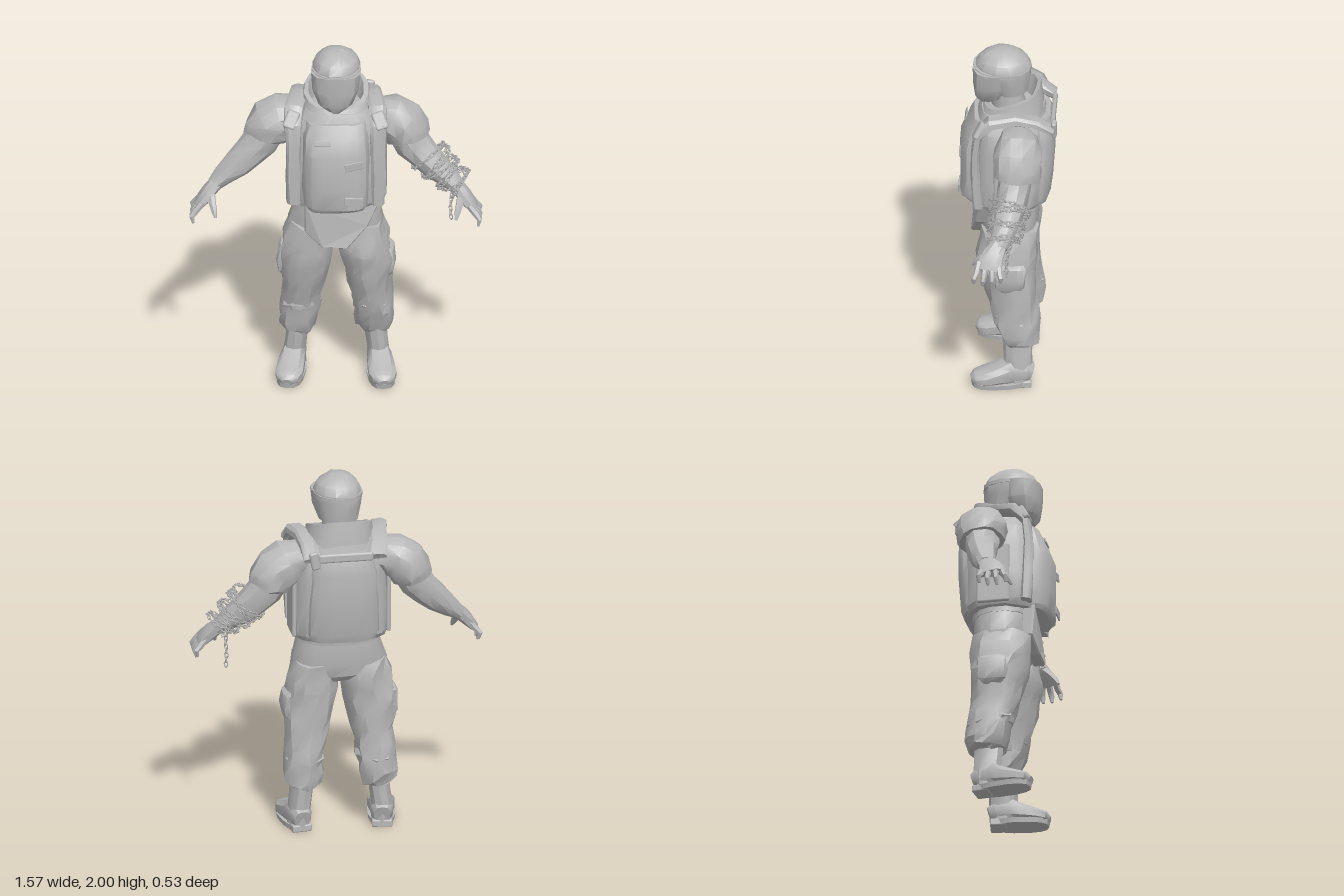
import * as THREE from 'three';
import { mergeGeometries, toCreasedNormals } from 'three/addons/utils/BufferGeometryUtils.js';
import { RoundedBoxGeometry } from 'three/addons/geometries/RoundedBoxGeometry.js';

const grey = new THREE.MeshStandardMaterial({ color: 0xb8b8b8 });
grey.name = 'plain grey';

let seed = 7;
const rand = () => (seed = (seed * 16807) % 2147483647) / 2147483647 - 0.5;
const V = (x, y, z) => new THREE.Vector3(x, y, z);

// Skin rings [x, y, z, radiusU, radiusV, tilt]. flat: level rings; across: rings kept square to x;
// path: rings follow the path. pow > 2 makes the section boxier, jitter gives cloth folds.
function loft(rings, { n = 12, pow = 2, jitter = 0, mode = 'flat', caps = true, s = 1, crease = 0.6 } = {}) {
  const pts = rings.map(r => V(r[0] * s, r[1], r[2]));
  const pos = [], idx = [];
  rings.forEach((r, i) => {
    const t = mode === 'flat' ? V(0, 1, 0)
      : pts[Math.min(i + 1, pts.length - 1)].clone().sub(pts[Math.max(i - 1, 0)]).normalize();
    const u = mode === 'path' ? t.clone().cross(V(0, 0, 1)) : V(1, 0, 0).addScaledVector(t, -t.x);
    u.normalize();
    const v = t.clone().cross(u);
    for (let j = 0; j < n; j++) {
      const a = (j + 0.5) / n * Math.PI * 2, c = Math.cos(a), d = Math.sin(a);
      const p = pts[i].clone()
        .addScaledVector(u, r[3] * Math.sign(c) * Math.abs(c) ** (2 / pow))
        .addScaledVector(v, r[4] * Math.sign(d) * Math.abs(d) ** (2 / pow));
      p.y += (r[5] || 0) * (p.z - r[2]);
      pos.push(p.x + rand() * jitter, p.y + rand() * jitter, p.z + rand() * jitter);
    }
  });
  const m = rings.length;
  for (let i = 0; i < m - 1; i++) for (let j = 0; j < n; j++) {
    const a = i * n + j, b = i * n + (j + 1) % n;
    idx.push(a, b, b + n, a, b + n, a + n);
  }
  if (caps) {
    pos.push(...pts[0].toArray(), ...pts[m - 1].toArray());
    for (let j = 0; j < n; j++) {
      const k = (j + 1) % n, top = (m - 1) * n;
      idx.push(m * n, k, j, m * n + 1, top + j, top + k);
    }
  }
  const g = new THREE.BufferGeometry();
  g.setAttribute('position', new THREE.Float32BufferAttribute(pos, 3));
  g.setIndex(idx);
  return toCreasedNormals(g, crease);
}

export function createModel() {
  const model = new THREE.Group();
  const add = (name, geo, parent = model) => {
    const mesh = new THREE.Mesh(geo, grey);
    mesh.name = name;
    parent.add(mesh);
    return mesh;
  };
  const box = (name, w, h, d, x, y, z, r = 0.012) => {
    const mesh = add(name, new RoundedBoxGeometry(w, h, d, 1, r));
    mesh.position.set(x, y, z);
    return mesh;
  };

  // Helmet, neck and visor
  add('helmet', loft([[0, 1.755, -.01, .105, .095], [0, 1.83, .012, .122, .128], [0, 1.88, .03, .13, .15], [0, 1.91, .032, .13, .152],
    [0, 1.95, .03, .112, .13], [0, 1.985, .035, .07, .085], [0, 2, .04, .03, .035]], { n: 12, jitter: .006 }));
  add('neck', loft([[0, 1.58, -.01, .1, .1], [0, 1.7, .01, .085, .09], [0, 1.8, .03, .09, .1]]));
  add('visor', loft([[0, 1.675, .125, .03, .035], [0, 1.72, .105, .095, .082], [0, 1.8, .09, .128, .106], [0, 1.9, .085, .137, .113]],
    { n: 12, pow: 2.4, jitter: .006 }));
  add('visorRim', loft([[0, 1.885, .036, .134, .158], [0, 1.905, .036, .134, .158]], { n: 14, pow: 2.2 }));

  // Standing collar, higher at the back
  add('collar', loft([[0, 1.6, 0, .21, .19, -.1], [0, 1.66, -.01, .185, .175, -.2], [0, 1.735, -.02, .172, .152, -.37],
    [0, 1.735, -.02, .15, .13, -.37], [0, 1.6, 0, .12, .12, -.2]], { n: 16, pow: 2.4, caps: false, jitter: .008 }));

  // Vest body with thick front and back plates
  add('vest', loft([[0, 1.11, 0, .25, .2], [0, 1.14, 0, .268, .212], [0, 1.3, 0, .268, .212], [0, 1.48, -.01, .252, .21],
    [0, 1.58, -.01, .238, .195], [0, 1.66, -.02, .18, .17]], { n: 20, pow: 2.6, jitter: .01 }));
  add('frontPlate', loft([[0, 1.11, .12, .165, .122], [0, 1.135, .12, .178, .138], [0, 1.25, .12, .18, .144], [0, 1.45, .12, .18, .14],
    [0, 1.55, .11, .175, .118], [0, 1.615, .1, .155, .09]], { n: 16, pow: 3.2, jitter: .009 }));
  add('backPlate', loft([[0, 1.115, -.1, .19, .112], [0, 1.16, -.1, .205, .13], [0, 1.35, -.1, .2, .145], [0, 1.5, -.1, .19, .149],
    [0, 1.58, -.1, .17, .143], [0, 1.63, -.1, .15, .125]], { n: 16, pow: 3.2, jitter: .009 }));
  box('backYoke', .3, .05, .025, 0, 1.615, -.24);
  box('dragHandle', .05, .1, .03, .17, 1.61, -.25).rotation.z = -.2;
  box('chestTab', .1, .045, .009, .1, 1.405, .258, .004).rotation.z = .25;
  box('bellyTab', .1, .05, .009, .1, 1.19, .262, .004);
  box('sideTab', .09, .03, .009, -.07, 1.53, .235, .004).rotation.x = -.3;

  // Hips, belt and hanging groin guard
  add('hips', loft([[0, .85, 0, .16, .11], [0, .89, 0, .25, .15], [0, .96, 0, .258, .165], [0, 1.06, 0, .23, .166], [0, 1.15, 0, .21, .165]],
    { n: 16, pow: 2.3, jitter: .012 }));
  add('belt', loft([[0, 1.08, 0, .225, .172], [0, 1.115, 0, .222, .176]], { n: 16, pow: 2.4 }));
  const flap = new THREE.Shape([[-.16, 1.13], [-.16, .96], [-.07, .88], [.06, .875], [.17, 1], [.23, 1.13]]
    .map(p => new THREE.Vector2(...p)));
  const flapGeo = new THREE.ExtrudeGeometry(flap, { depth: .05, bevelSize: .006, bevelThickness: .008, bevelSegments: 1 });
  const fp = flapGeo.attributes.position;
  for (let i = 0; i < fp.count; i++) fp.setZ(i, fp.getZ(i) + .16 - fp.getX(i) ** 2 * 1.5 + (fp.getY(i) - 1) * .08);
  flapGeo.computeVertexNormals();
  add('groinGuard', flapGeo);

  for (const s of [-1, 1]) {
    const side = s > 0 ? 'left' : 'right';

    // Strap over the shoulder, buckle pad and side panel
    add(side + 'ShoulderStrap', loft([[.228, 1.13, .155, .036, .026], [.23, 1.3, .168, .038, .028], [.226, 1.47, .17, .04, .026],
      [.23, 1.6, .155, .048, .026], [.225, 1.67, .09, .052, .028], [.2, 1.685, -.04, .052, .028], [.19, 1.66, -.15, .05, .025],
      [.18, 1.61, -.235, .048, .022]], { n: 8, pow: 3, mode: 'across', s, jitter: .01 }));
    box(side + 'BucklePad', .07, .1, .035, s * .238, 1.63, .15).rotation.set(-.5, 0, s * .35);
    box(side + 'SidePanel', .026, .34, .18, s * .257, 1.29, -.02);

    // Short sleeve and bare arm
    add(side + 'Sleeve', loft([[.17, 1.55, -.06, .085, .09], [.23, 1.555, -.06, .104, .105], [.29, 1.545, -.063, .122, .128], [.345, 1.505, -.065, .13, .136],
      [.383, 1.45, -.063, .122, .13], [.39, 1.425, -.06, .112, .118]], { n: 12, mode: 'path', s, jitter: .016 }));
    add(side + 'Arm', loft([[.35, 1.49, -.06, .095, .095], [.41, 1.385, -.05, .096, .092], [.465, 1.325, -.04, .086, .085],
      [.53, 1.265, -.025, .076, .076], [.61, 1.2, .002, .054, .062], [.66, 1.155, .02, .038, .05]], { n: 10, mode: 'path', s, jitter: .008 }));

    // Hand with four fingers and a thumb
    add(side + 'Palm', loft([[.64, 1.175, .014, .036, .045], [.685, 1.13, .045, .036, .058], [.72, 1.09, .064, .032, .066], [.742, 1.06, .072, .022, .06]],
      { n: 8, mode: 'path', pow: 2.5, s, jitter: .004 }));
    for (let i = 0; i < 4; i++) {
      const z = .016 + i * .035, tip = i * .048 + .002, drop = [.02, 0, 0, .012][i];
      add(side + 'Finger', loft([[.715, 1.1, z, .019, .018], [.756, 1.05, (z + tip) / 2, .018, .017], [.772, 1.015 + drop, tip, .015, .015],
        [.765, .98 + drop, tip + .004, .007, .008]], { n: 6, mode: 'path', s }));
    }
    add(side + 'Thumb', loft([[.675, 1.15, .055, .024, .024], [.665, 1.1, .108, .022, .02], [.652, 1.06, .142, .017, .016], [.645, 1.03, .16, .008, .008]],
      { n: 6, mode: 'path', s }));

    // Baggy trouser leg gathered at the cuff, with folds and a sagging side pocket
    add(side + 'TrouserLeg', loft([[.2, .25, -.07, .075, .085], [.2, .275, -.07, .098, .1], [.202, .33, -.062, .104, .11], [.198, .4, -.05, .106, .122],
      [.19, .48, -.037, .107, .125], [.182, .56, -.025, .116, .138], [.173, .65, -.012, .132, .15], [.168, .72, -.005, .143, .158],
      [.156, .8, 0, .142, .163], [.145, .87, 0, .138, .163], [.13, .96, 0, .125, .158]], { n: 13, pow: 2.2, jitter: .026, s }));
    add(side + 'CargoPocket', loft([[.27, .62, -.02, .025, .06], [.283, .65, -.02, .028, .08], [.29, .71, -.02, .029, .085], [.284, .775, -.02, .026, .08],
      [.278, .79, -.02, .015, .07]], { n: 10, pow: 3, jitter: .012, s }));
    add(side + 'KneeFold', loft([[.192, .4, -.045, .1, .118, .2], [.192, .425, -.04, .112, .13, .2], [.192, .45, -.04, .1, .12, .2]],
      { n: 11, jitter: .018, s }));

    // Boot turned slightly outward
    const boot = new THREE.Group();
    boot.name = side + 'Boot';
    boot.position.set(s * .226, 0, -.06);
    boot.rotation.y = s * .14;
    model.add(boot);
    add('bootShaft', loft([[0, .03, 0, .06, .07], [0, .12, 0, .062, .076], [-s * .012, .2, .002, .06, .08], [-s * .02, .28, 0, .062, .084]],
      { n: 10, jitter: .006 }), boot);
    add('bootFoot', loft([[0, .075, -.072, .045, .05], [0, .085, -.04, .06, .065], [0, .09, .04, .066, .08], [0, .075, .1, .074, .062],
      [0, .058, .18, .077, .045], [0, .05, .23, .06, .037], [0, .043, .252, .028, .02]], { n: 10, mode: 'across', pow: 2.5 }), boot);
    add('bootSole', loft([[0, .006, .1, .072, .148], [0, .034, .1, .076, .153]], { n: 14, pow: 2.6 }), boot);
    const heel = add('bootHeel', new RoundedBoxGeometry(.11, .04, .09, 1, .008), boot);
    heel.position.set(0, .02, -.024);
  }

  // Chain wound around the left forearm with a loose end hanging down
  const linkGeo = new THREE.TorusGeometry(.0095, .0033, 4, 7).scale(1.8, 1, 1);
  const links = [];
  const chain = (curve, spacing) => {
    const count = Math.round(curve.getLength() / spacing);
    for (let i = 0; i < count; i++) {
      const q = new THREE.Quaternion().setFromUnitVectors(V(1, 0, 0), curve.getTangentAt(i / count));
      const roll = new THREE.Quaternion().setFromAxisAngle(V(1, 0, 0), (i % 2) * Math.PI / 2 + .4);
      const m = new THREE.Matrix4().compose(curve.getPointAt(i / count), q.multiply(roll), V(1, 1, 1));
      links.push(linkGeo.clone().applyMatrix4(m));
    }
  };
  const along = V(.62, -.62, .12).normalize(), u = along.clone().cross(V(0, 0, 1)).normalize(), v = along.clone().cross(u);
  const coil = [];
  for (let i = 0; i <= 112; i++) {
    const k = i / 112, a = k * Math.PI * 16, r = .112 - .034 * k + rand() * .014;
    coil.push(V(.485 + .175 * k, 1.33 - .16 * k, -.04 + .045 * k)
      .addScaledVector(u, r * Math.cos(a)).addScaledVector(v, r * Math.sin(a))
      .addScaledVector(along, .03 * Math.sin(a * .63 + 1)));
  }
  chain(new THREE.CatmullRomCurve3(coil), .027);
  chain(new THREE.CatmullRomCurve3([V(.61, 1.16, -.05), V(.618, 1.1, -.03), V(.613, 1.02, -.02), V(.617, .93, -.02)]), .027);
  add('forearmChain', mergeGeometries(links));

  return model;
}
